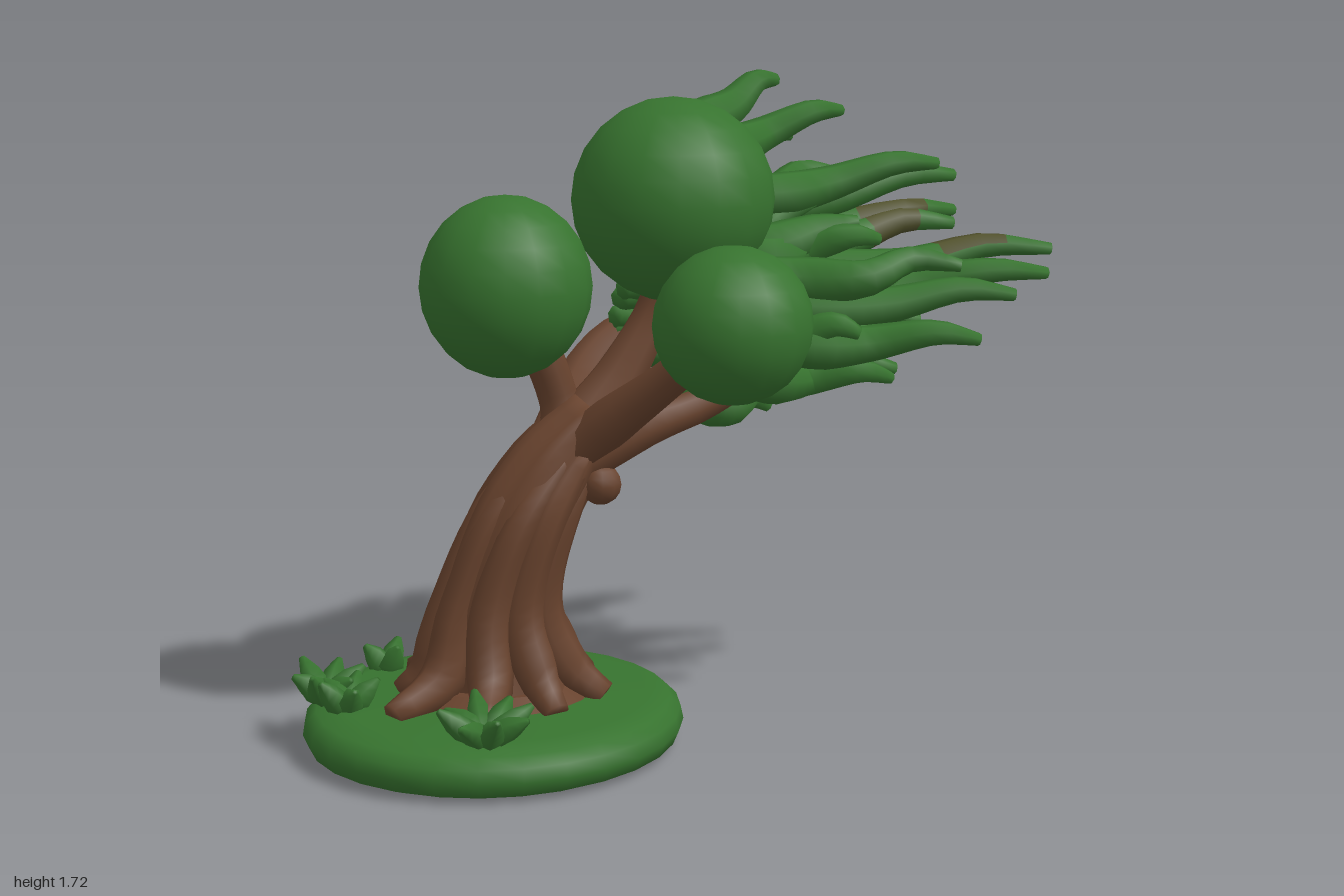
import * as THREE from 'three';

const material = (name, color) => {
  const m = new THREE.MeshStandardMaterial({ color });
  m.name = name;
  return m;
};
const V = (p) => new THREE.Vector3(...p);

// Tapered limb swept along a smooth path. radii are spread evenly along it;
// patch = [from, to] paints one side of that stretch with the second material.
function limbGeometry(points, radii, { sides = 8, segs = 14, lobes = 0, depth = 0, patch = null } = {}) {
  const curve = new THREE.CatmullRomCurve3(points.map(V));
  const frames = curve.computeFrenetFrames(segs, false);
  const pos = [], plain = [], painted = [];
  for (let i = 0; i <= segs; i++) {
    const t = i / segs, c = curve.getPointAt(t);
    const f = t * (radii.length - 1), k = Math.min(Math.floor(f), radii.length - 2);
    const r = THREE.MathUtils.lerp(radii[k], radii[k + 1], f - k);
    for (let j = 0; j < sides; j++) {
      const a = (j / sides) * Math.PI * 2;
      const rr = r * (1 + depth * Math.cos(lobes * a + t * 1.5));
      const p = c.clone()
        .addScaledVector(frames.normals[i], Math.cos(a) * rr)
        .addScaledVector(frames.binormals[i], Math.sin(a) * rr);
      pos.push(p.x, p.y, p.z);
    }
  }
  for (let i = 0; i < segs; i++) {
    for (let j = 0; j < sides; j++) {
      const n = (j + 1) % sides, a = i * sides + j, b = i * sides + n;
      const inPatch = patch && i / segs >= patch[0] && i / segs < patch[1] && j < sides * 0.6;
      (inPatch ? painted : plain).push(a, b, b + sides, a, b + sides, a + sides);
    }
  }
  // end caps
  const first = pos.length / 3, last = segs * sides;
  pos.push(...curve.getPoint(0).toArray(), ...curve.getPoint(1).toArray());
  for (let j = 0; j < sides; j++) {
    const n = (j + 1) % sides;
    plain.push(first, n, j, first + 1, last + j, last + n);
  }
  const g = new THREE.BufferGeometry();
  g.setAttribute('position', new THREE.Float32BufferAttribute(pos, 3));
  g.setIndex([...plain, ...painted]);
  g.addGroup(0, plain.length, 0);
  g.addGroup(plain.length, painted.length, 1);
  g.computeVertexNormals();
  return g;
}

export function createModel() {
  const model = new THREE.Group();
  const green = material('leaf green', 0x37732f);
  const brown = material('bark brown', 0x67422d);
  const olive = material('olive bark', 0x50502b);

  const add = (name, geometry, mat, parent = model) => {
    const m = new THREE.Mesh(geometry, mat);
    m.name = name;
    parent.add(m);
    return m;
  };
  const group = (name) => {
    const g = new THREE.Group();
    g.name = name;
    model.add(g);
    return g;
  };
  const limb = (name, pts, radii, mat, parent, opts) =>
    add(name, limbGeometry(pts, radii, opts), [mat, olive], parent);

  // Grassy base with a rounded rim and a slightly domed top
  const rim = [[0, 0], [0.9, 0.005], [0.97, 0.02], [1, 0.055], [0.985, 0.09], [0.93, 0.115], [0.8, 0.132], [0, 0.15]];
  const base = add('grassBase',
    new THREE.LatheGeometry(rim.map(([x, y]) => new THREE.Vector2(x, y)), 28), green);
  base.scale.set(0.5, 1, 0.48);
  base.position.set(-0.5, 0, -0.08);

  // Leaning trunk core
  const wood = group('trunk');
  limb('trunkCore',
    [[-0.46, 0.1, -0.09], [-0.5, 0.33, -0.08], [-0.43, 0.58, -0.06], [-0.32, 0.75, -0.05], [-0.22, 0.86, -0.03]],
    [0.2, 0.155, 0.135, 0.13, 0.115, 0.08], brown, wood, { sides: 28, segs: 18, lobes: 7, depth: 0.07 });
  const foot = add('rootFlare', new THREE.CylinderGeometry(0.2, 0.3, 0.06, 20), brown, wood);
  foot.position.set(-0.48, 0.14, -0.1);

  // Roots that run up the trunk as ridges
  const roots = [[-0.81, 0.01], [-0.63, 0.19], [-0.43, 0.17], [-0.26, 0.09], [-0.23, -0.1],
    [-0.24, -0.29], [-0.39, -0.39], [-0.62, -0.34], [-0.72, -0.17]];
  roots.forEach(([x, z]) => {
    const a = Math.atan2(z + 0.08, x + 0.48), c = Math.cos(a), s = Math.sin(a);
    limb('root', [
      [x, 0.14, z],
      [-0.48 + c * 0.19, 0.2, -0.08 + s * 0.18],
      [-0.49 + c * 0.125, 0.36, -0.08 + s * 0.12],
      [-0.42 + c * 0.1, 0.6, -0.055 + s * 0.105],
      [-0.3 + c * 0.065, 0.77, -0.05 + s * 0.08]],
    [0.035, 0.062, 0.055, 0.048, 0.045, 0.03], brown, wood, { segs: 18 });
  });

  // Knot on the trunk
  const knot = add('knot', new THREE.SphereGeometry(0.055, 10, 8), brown, wood);
  knot.position.set(-0.235, 0.685, 0.02);

  // Branches: to the side crown, front crown, rear fronds, lee fronds, top crown
  const branches = group('branches');
  limb('sideBranch', [[-0.3, 0.74, -0.07], [-0.3, 0.88, -0.09], [-0.35, 1.03, -0.1], [-0.4, 1.12, -0.11]],
    [0.08, 0.055, 0.055, 0.05], brown, branches);
  limb('frontBranch', [[-0.33, 0.72, -0.05], [-0.23, 0.85, 0.06], [-0.13, 0.98, 0.2], [-0.05, 1.1, 0.32]],
    [0.06, 0.065, 0.05, 0.045], brown, branches);
  limb('rearBranch', [[-0.35, 0.66, -0.11], [-0.25, 0.79, -0.2], [-0.13, 0.92, -0.32], [0.0, 1.01, -0.37], [0.12, 1.03, -0.4]],
    [0.08, 0.075, 0.062, 0.05, 0.03], brown, branches);
  limb('leeBranch', [[-0.32, 0.72, -0.03], [-0.12, 0.82, 0.02], [0.05, 0.87, 0.03], [0.16, 0.93, 0.03], [0.22, 1.05, 0.02]],
    [0.07, 0.065, 0.05, 0.045, 0.03], brown, branches);
  limb('topBranch', [[-0.28, 0.78, -0.05], [-0.14, 0.95, -0.06], [-0.04, 1.12, -0.06], [0, 1.3, -0.03]],
    [0.1, 0.07, 0.05, 0.045], brown, branches);

  // Round leaf crowns
  const crowns = group('crowns');
  [['sideCrown', [-0.437, 1.195, -0.11], [0.222, 0.235, 0.22]],
    ['topCrown', [-0.02, 1.41, 0.01], [0.262, 0.262, 0.265]],
    ['frontCrown', [-0.03, 1.135, 0.36], [0.2, 0.197, 0.2]],
    ['innerFoliage', [0.12, 1.2, -0.07], [0.18, 0.2, 0.22]]].forEach(([name, p, s]) => {
    const m = add(name, new THREE.SphereGeometry(1, 16, 12), green, crowns);
    m.position.set(...p);
    m.scale.set(...s);
  });

  // Wind-blown fronds, listed by tip
  const tips = [
    [0.41, 1.69, -0.23], [0.62, 1.6, -0.24], [0.52, 1.53, -0.34], [0.77, 1.47, 0.02], [0.91, 1.42, -0.11],
    [0.6, 1.43, -0.22], [0.97, 1.31, -0.2], [0.8, 1.31, 0.06], [0.995, 1.25, 0.24],
    [0.92, 1.2, 0.33], [0.6, 1.25, 0.41], [0.78, 1.16, 0.39], [0.64, 1.06, 0.44], [0.7, 1.05, 0.06],
    [0.55, 1.17, 0.25], [0.6, 1.2, -0.15], [0.72, 0.89, -0.09], [0.55, 0.92, 0.16], [0.62, 0.99, -0.1],
    [0.34, 0.81, -0.13], [0.48, 1.3, 0.2], [0.7, 1.1, -0.22], [0.32, 1.09, 0.38], [0.45, 1.05, 0.32]];
  const patched = [2, 6, 7, 8, 16];
  const fronds = group('fronds');
  tips.forEach(([x, y, z], i) => {
    const y0 = 1.2 + (y - 1.2) * 0.8, z0 = -0.03 + (z + 0.03) * 0.55, w = 0.03 * Math.sin(i * 2.3);
    const x0 = 0.06, at = (t, dy, dz) => [x0 + (x - x0) * t, y0 + (y - y0) * t + dy, z0 + (z - z0) * t + dz];
    limb('frond', [at(0, 0, 0), at(0.3, -0.025, w), at(0.55, -0.02, -w), at(0.8, 0.018, w), at(1, 0, 0)],
      [0.045, 0.056, 0.062, 0.052, 0.042, 0.032, 0.017], green, fronds,
      { sides: 7, patch: patched.includes(i) ? [0.62, 0.85] : null });
  });

  // Short fronds fanned over the lee side of the inner foliage
  for (let k = 0; k < 18; k++) {
    const a = k * 2.4, q = Math.sqrt((k + 0.5) / 18), cy = Math.sin(a) * q, cz = Math.cos(a) * q;
    const x = 0.48 - 0.1 * q + 0.06 * Math.sin(k * 1.7);
    limb('shortFrond', [
      [0.08, 1.18 + cy * 0.17, -0.05 + cz * 0.18],
      [0.22, 1.16 + cy * 0.21, -0.05 + cz * 0.24],
      [x - 0.1, 1.17 + cy * 0.25, -0.05 + cz * 0.25],
      [x, 1.18 + cy * 0.27, -0.05 + cz * 0.3]],
    [0.05, 0.065, 0.062, 0.042, 0.016], green, fronds, { sides: 7, segs: 10 });
  }

  // Rear fronds, rooted between the rear branch and the top crown
  [[0.38, 1.16, -0.51], [0.37, 0.95, -0.53], [0.83, 1.03, -0.41], [0.66, 0.97, -0.37], [0.4, 0.96, -0.28],
    [0.5, 1.08, -0.42], [0.68, 1.2, -0.41], [0.6, 1.3, -0.35], [0.45, 1.36, -0.32]]
    .forEach(([x, y, z], i) => {
      const x0 = -0.03, y0 = 1 + (y - 1) * 0.7, z0 = -0.36 + (y - 1) * 0.42;
      const at = (t, dy, dz) => [x0 + (x - x0) * t, y0 + (y - y0) * t + dy, z0 + (z - z0) * t + dz];
      limb('rearFrond', [at(0, 0, 0), at(0.3, -0.015, -0.02), at(0.6, -0.02, 0.015), at(0.82, 0.012, -0.01), at(1, 0, 0)],
        [0.03, 0.05, 0.058, 0.05, 0.036, 0.016], green, fronds,
        { sides: 7, patch: [0, 2, 6].includes(i) ? [0.5, 0.85] : null });
    });

  // Grass tufts: pointed leaves fanning out of the base
  const tufts = group('grassTufts');
  [[-0.9, -0.25, 6, 0.1], [-0.88, -0.14, 5, 0.08], [-0.65, 0.24, 8, 0.12], [-0.68, -0.4, 3, 0.06]]
    .forEach(([x, z, count, r]) => {
      for (let k = 0; k < count; k++) {
        const a = (k / count) * Math.PI * 2 + x, c = Math.cos(a), s = Math.sin(a);
        const ex = Math.max(x + c * r, -0.985);
        limb('grassLeaf', [[x, 0.11, z], [(x + ex) / 2, 0.16, z + s * r * 0.5], [ex, 0.2 + 0.02 * Math.sin(k * 3), z + s * r]],
          [0.02, 0.036, 0.028, 0.008], green, tufts, { sides: 5, segs: 6 });
      }
    });
  return model;
}
